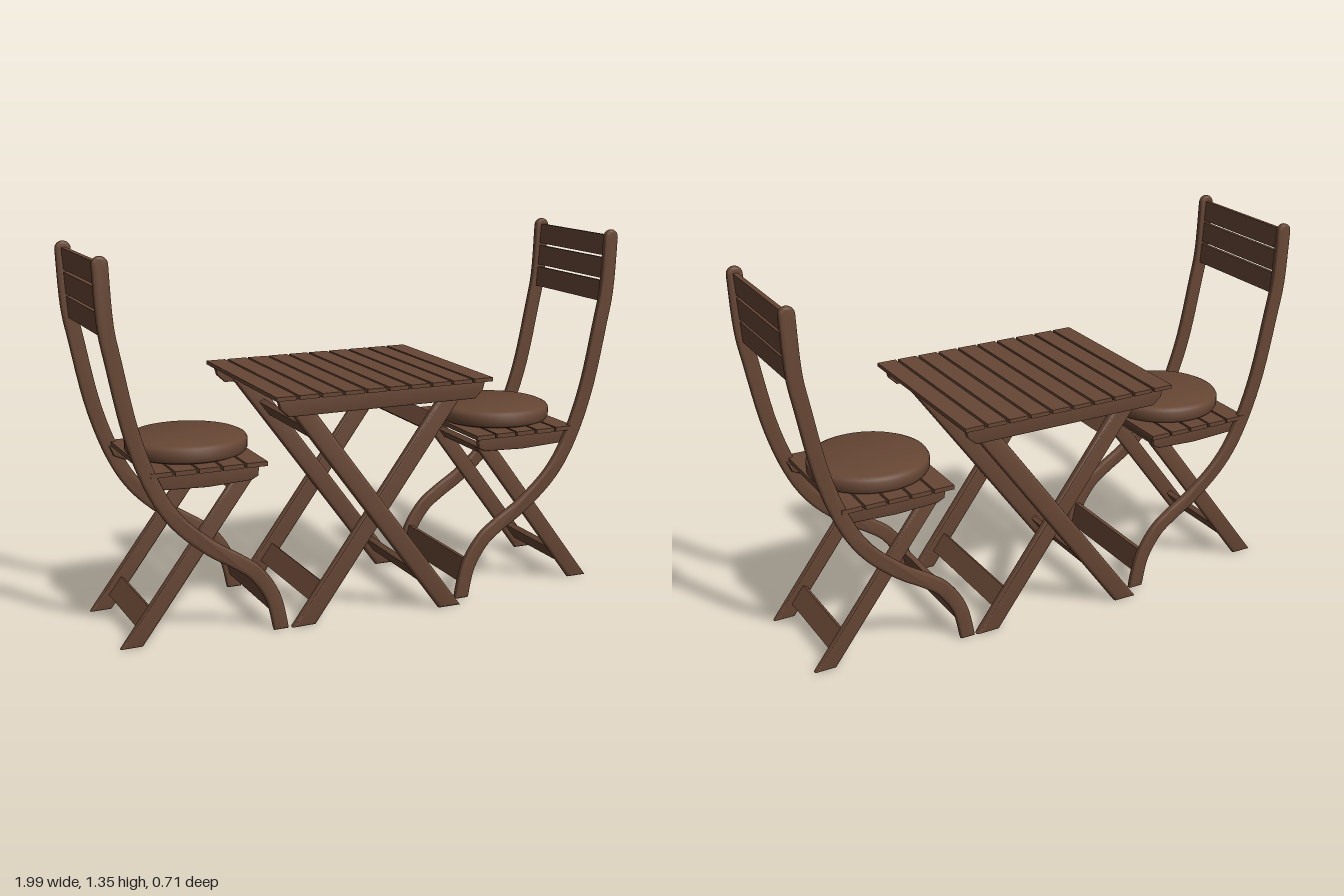
import * as THREE from 'three';
import { toCreasedNormals } from 'three/addons/utils/BufferGeometryUtils.js';

const wood = new THREE.MeshStandardMaterial({ color: 0x664634 });
wood.name = 'brown wood';

function add(parent, name, geometry, x = 0, y = 0, z = 0) {
  const mesh = new THREE.Mesh(geometry, wood);
  mesh.name = name;
  mesh.position.set(x, y, z);
  parent.add(mesh);
  return mesh;
}

// Side outline (x, y) given a thickness along z, with rounded edges
function plank(points, thickness, round = 0.008) {
  const b = Math.min(round, thickness * 0.45);
  const g = new THREE.ExtrudeGeometry(new THREE.Shape(points), {
    depth: thickness - 2 * b, bevelEnabled: true, bevelThickness: b,
    bevelSize: round, bevelOffset: -round, bevelSegments: 3,
  });
  g.translate(0, 0, b - thickness / 2);
  return toCreasedNormals(g, 0.7);
}

const outline = (pairs) => pairs.map(([x, y]) => new THREE.Vector2(x, y));

// Straight leg with its foot and head cut level
function legShape(x0, y0, x1, y1, w) {
  return outline([[x0 - w / 2, y0], [x0 + w / 2, y0], [x1 + w / 2, y1], [x1 - w / 2, y1]]);
}

// Board running along z, tilted to lie in the plane of its legs
function crossbar(parent, name, x, y, z, length, height, tilt, thickness = 0.02) {
  const bar = add(parent, name, new THREE.BoxGeometry(thickness, height, length), x, y, z);
  bar.rotation.z = tilt;
}

// Curved chair side: a ribbon around a spline, with a round top
function curvedSide() {
  const curve = new THREE.SplineCurve(outline([
    [0.362, 0], [0.39, 0.12], [0.45, 0.215], [0.52, 0.27], [0.62, 0.335], [0.735, 0.44],
    [0.815, 0.57], [0.883, 0.76], [0.934, 1.0], [0.957, 1.13], [0.967, 1.32],
  ]));
  const r = 0.028, left = [], right = [], cap = [];
  for (let i = 0; i <= 48; i++) {
    const p = curve.getPoint(i / 48), t = curve.getTangent(i / 48);
    right.push(new THREE.Vector2(p.x + t.y * r, i ? p.y - t.x * r : 0));
    left.unshift(new THREE.Vector2(p.x - t.y * r, i ? p.y + t.x * r : 0));
  }
  const top = curve.getPoint(1);
  for (let i = 1; i < 10; i++) {
    const a = (i / 10) * Math.PI;
    cap.push(new THREE.Vector2(top.x + r * Math.cos(a), top.y + r * Math.sin(a)));
  }
  return plank([...right, ...cap, ...left], 0.026, 0.01);
}

function createChair() {
  const chair = new THREE.Group();
  const side = curvedSide();
  const leg = plank(legShape(0.895, 0, 0.475, 0.565, 0.078), 0.026, 0.01);
  const seatRail = plank(outline([
    [0.43, 0.605], [0.435, 0.565], [0.46, 0.552], [0.62, 0.545], [0.78, 0.552],
    [0.82, 0.57], [0.835, 0.605],
  ]), 0.022, 0.005);
  for (const s of [-1, 1]) {
    add(chair, 'curvedSide', side, 0, 0, s * 0.242);
    add(chair, 'straightLeg', leg, 0, 0, s * 0.2);
    add(chair, 'seatRail', seatRail, 0, 0, s * 0.222);
  }

  // Foot boards
  crossbar(chair, 'curvedFootBoard', 0.382, 0.1, 0, 0.462, 0.09, -0.22);
  crossbar(chair, 'legFootBoard', 0.833, 0.083, 0, 0.38, 0.08, 0.64);
  crossbar(chair, 'seatSupport', 0.51, 0.53, 0, 0.38, 0.04, 0.64);

  // Seat slats
  for (let i = 0; i < 5; i++) {
    const x = 0.449 + i * 0.0845;
    const length = i < 4 ? 0.52 : 0.515;
    add(chair, 'seatSlat', new THREE.BoxGeometry(0.076, 0.016, length), x, 0.612, 0);
  }

  // Round cushion with softened rims
  const cushion = new THREE.LatheGeometry(outline([
    [0, 0], [0.195, 0], [0.21, 0.006], [0.216, 0.016], [0.216, 0.045],
    [0.21, 0.055], [0.195, 0.062], [0, 0.063],
  ]), 48);
  add(chair, 'cushion', toCreasedNormals(cushion, 0.6), 0.617, 0.62, 0);

  // Backrest slats
  [[1.118, 0.954], [1.203, 0.96], [1.288, 0.965]].forEach(([y, x]) => {
    crossbar(chair, 'backSlat', x, y, 0, 0.464, 0.076, -0.07, 0.016);
  });
  return chair;
}

function createTable() {
  const table = new THREE.Group();
  table.name = 'table';

  // Slatted top
  for (let i = 0; i < 10; i++) {
    add(table, 'tableSlat', new THREE.BoxGeometry(0.073, 0.014, 0.714),
      -0.379 + i * 0.0835, 0.853, 0);
  }

  // Side rails under the top
  const rail = plank(outline([
    [-0.4, 0.846], [-0.39, 0.81], [-0.36, 0.782], [0.355, 0.782], [0.385, 0.81], [0.395, 0.846],
  ]), 0.024, 0.005);
  for (const s of [-1, 1]) add(table, 'tableRail', rail, 0, 0, s * 0.318);

  // Two crossing leg frames, each the half turn of the other
  const leg = plank(legShape(0.283, 0, -0.305, 0.8, 0.088), 0.034, 0.013);
  for (const turn of [0, Math.PI]) {
    const frame = new THREE.Group();
    frame.name = 'tableLegFrame';
    frame.rotation.y = turn;
    add(frame, 'tableLeg', leg, 0, 0, 0.288);
    add(frame, 'tableLeg', leg, 0, 0, -0.252);
    crossbar(frame, 'tableFootBoard', 0.21, 0.1, 0.018, 0.51, 0.08, 0.634);
    crossbar(frame, 'tableUpperBoard', -0.224, 0.69, 0.018, 0.51, 0.065, 0.634);
    table.add(frame);
  }
  return table;
}

export function createModel() {
  const model = new THREE.Group();
  model.name = 'bistroSet';
  model.add(createTable());

  const leftChair = createChair();
  leftChair.name = 'leftChair';
  leftChair.position.z = -0.009;
  const rightChair = createChair();
  rightChair.name = 'rightChair';
  rightChair.rotation.y = Math.PI;
  rightChair.position.set(-0.004, 0, 0.006);
  model.add(leftChair, rightChair);
  return model;
}
